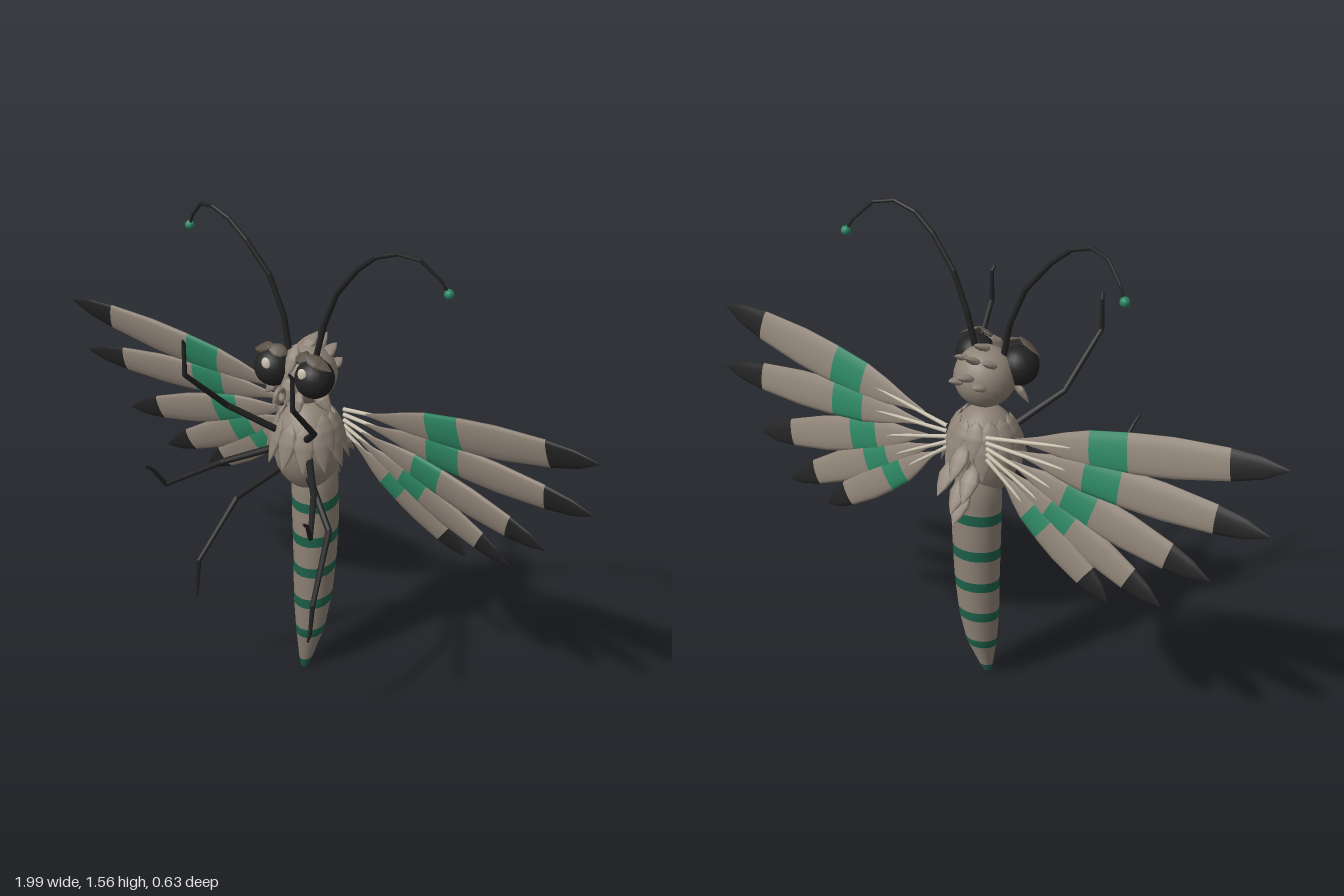
import * as THREE from 'three';

const mat = (name, color) => {
  const m = new THREE.MeshStandardMaterial({ color });
  m.name = name;
  return m;
};
const taupe = mat('taupe', 0x8f8377);
const darkTaupe = mat('dark taupe', 0x5a5248);
const green = mat('wing green', 0x2c8462);
const stripe = mat('stripe green', 0x1c614a);
const black = mat('black', 0x222222);
const cream = mat('cream', 0xc9c1ae);

const V = (x, y, z) => new THREE.Vector3(x, y, z);
const mirror = (p, s) => V(p[0] * s, p[1], p[2]);

// piecewise linear lookup in a list of [position, value]
function lookup(list, t) {
  for (let i = 1; i < list.length; i++) {
    const [a, va] = list[i - 1], [b, vb] = list[i];
    if (t <= b) return va + (vb - va) * Math.max(0, (t - a) / (b - a));
  }
  return list[list.length - 1][1];
}

// profile of a lathe between two heights
function section(profile, from, to, steps, segments) {
  const pts = [];
  for (let i = 0; i <= steps; i++) {
    const t = from + (to - from) * i / steps;
    pts.push(new THREE.Vector2(lookup(profile, t), t));
  }
  return new THREE.LatheGeometry(pts, segments, Math.PI);
}

// turn an object so its y runs from base to tip and its z faces outward
function aim(obj, base, tip, outward, width, thick) {
  const y = tip.clone().sub(base), len = y.length();
  y.normalize();
  const x = new THREE.Vector3().crossVectors(y, outward).normalize();
  const z = new THREE.Vector3().crossVectors(x, y);
  obj.quaternion.setFromRotationMatrix(new THREE.Matrix4().makeBasis(x, y, z));
  obj.position.copy(base);
  obj.scale.set(width, len, thick);
  return obj;
}

export function createModel() {
  const root = new THREE.Group();
  root.name = 'mothInsect';
  const add = (name, geo, m, parent = root) => {
    const mesh = new THREE.Mesh(geo, m);
    mesh.name = name;
    parent.add(mesh);
    return mesh;
  };
  const ball = (name, m, p, rx, ry = rx, rz = rx) => {
    const b = add(name, new THREE.SphereGeometry(1, 20, 14), m);
    b.position.copy(p);
    b.scale.set(rx, ry, rz);
    return b;
  };

  // small pointed plume used for collar, back and crest
  const leafGeo = section([[0, 0], [0.2, 0.75], [0.45, 1], [0.75, 0.6], [1, 0]], 0, 1, 20, 8);
  const leaf = (name, base, tip, outward, width, thick = 0.012, m = taupe) =>
    aim(add(name, leafGeo, m), base, tip, outward, width, thick);

  // jointed, tapering rod through a list of points
  const limb = (name, pts, r0, r1) => {
    const g = new THREE.Group();
    g.name = name;
    root.add(g);
    const n = pts.length - 1;
    for (let i = 0; i < n; i++) {
      const ra = r0 + (r1 - r0) * i / n, rb = r0 + (r1 - r0) * (i + 1) / n;
      const len = pts[i].distanceTo(pts[i + 1]);
      const seg = add(name + 'Segment', new THREE.CylinderGeometry(rb, ra, len, 8), black, g);
      seg.position.lerpVectors(pts[i], pts[i + 1], 0.5);
      seg.quaternion.setFromUnitVectors(V(0, 1, 0), pts[i + 1].clone().sub(pts[i]).normalize());
      const joint = add(name + 'Joint', new THREE.SphereGeometry(rb, 8, 6), black, g);
      joint.position.copy(pts[i + 1]);
    }
  };

  // striped abdomen: lathe bands, sheared and bent along a curve
  const radius = [[0, 0.012], [0.03, 0.022], [0.14, 0.049], [0.26, 0.064], [0.4, 0.071], [0.55, 0.076], [0.72, 0.075], [0.8, 0.05]];
  const centre = [[0, -0.107], [0.14, -0.14], [0.26, -0.153], [0.4, -0.162], [0.55, -0.163], [0.8, -0.15]];
  const cuts = [0, 0.032, 0.126, 0.158, 0.245, 0.28, 0.365, 0.4, 0.482, 0.518, 0.61, 0.645, 0.8];
  for (let i = 0; i + 1 < cuts.length; i++) {
    const geo = section(radius, cuts[i], cuts[i + 1], 5, 20), p = geo.attributes.position;
    for (let k = 0; k < p.count; k++) {
      const y = p.getY(k), z = p.getZ(k);
      p.setXYZ(k, p.getX(k), y - 0.18 * z, z + lookup(centre, y));
    }
    add(i % 2 ? 'abdomenSegment' : 'abdomenStripe', geo, i % 2 ? taupe : stripe);
  }
  ball('abdomenTip', stripe, V(0, 0.008, -0.108), 0.013, 0.008, 0.013);

  // thorax and head
  ball('thorax', taupe, V(0, 0.835, -0.115), 0.11, 0.15, 0.11);
  ball('head', taupe, V(0, 1.08, -0.11), 0.095);

  // collar of plumes around the thorax
  for (const [yb, yt, rb, rt, off] of [[0.94, 0.79, 0.086, 0.134, 0], [0.965, 0.85, 0.07, 0.125, 0.5]]) {
    for (let i = 0; i < 12; i++) {
      const a = (i + off) / 12 * Math.PI * 2;
      if (off && Math.cos(a) > 0.4) continue;
      const dir = V(Math.sin(a), 0, Math.cos(a)), c = V(0, 0, -0.115);
      leaf('collarPlume', c.clone().addScaledVector(dir, rb).setY(yb),
        c.clone().addScaledVector(dir, rt).setY(yt), dir, 0.035);
    }
  }

  // plumes down the back
  for (const [y, z, x] of [[0.9, -0.215, 0], [0.84, -0.222, 0.035], [0.84, -0.222, -0.035], [0.79, -0.22, 0], [0.745, -0.21, 0]])
    leaf('backPlume', V(x, y, z), V(x * 1.3, y - 0.095, z - 0.085), V(x * 4, 0.5, -1), 0.032);

  // crest on the head
  for (const [x, by, bz, ty, tz] of [[0, 1.16, -0.09, 1.2, -0.165], [0, 1.135, -0.14, 1.18, -0.215], [0, 1.1, -0.175, 1.13, -0.255],
    [0.04, 1.13, -0.12, 1.165, -0.195], [-0.04, 1.13, -0.12, 1.165, -0.195], [0.035, 1.08, -0.175, 1.1, -0.235], [-0.035, 1.08, -0.175, 1.1, -0.235]])
    leaf('crestPlume', V(x, by, bz), V(x * 1.3, ty, tz), V(x * 5, 1, -0.3), 0.025);
  leaf('foreheadPlume', V(0, 1.195, -0.06), V(0, 1.1, 0), V(0, 0.3, 1), 0.024);

  // coiled mouth
  const coil = add('coiledMouth', new THREE.TorusGeometry(0.02, 0.008, 8, 18), taupe);
  coil.position.set(0, 1.055, 0.03);
  coil.rotation.y = Math.PI / 2;
  leaf('snout', V(0, 1.1, -0.025), V(0, 1.01, 0.005), V(0, 0, 1), 0.03);

  // wing feather: blade in four colour bands
  const blade = [[0.1, 0.08], [0.18, 0.3], [0.27, 0.65], [0.36, 0.9], [0.5, 1], [0.64, 1], [0.82, 0.78], [0.92, 0.52], [1, 0.04]];
  const bands = [[0.1, 0.36, taupe], [0.36, 0.49, green], [0.49, 0.82, taupe], [0.82, 1, black]]
    .map(([a, b, m]) => [section(blade, a, b, 9, 14), m]);
  const quillGeo = section([[0, 1], [0.6, 0.3]], 0, 0.6, 1, 8);
  const wingFace = V(0, -0.22, 1);
  const feathers = [ // tip, half width
    [[0.995, 1.07, -0.125], 0.062],
    [[0.973, 0.875, -0.17], 0.058],
    [[0.815, 0.69, -0.2], 0.057],
    [[0.68, 0.572, -0.232], 0.052],
    [[0.515, 0.54, -0.25], 0.052],
  ];

  for (const s of [1, -1]) {
    const side = s > 0 ? 'left' : 'right';
    const P = (...p) => mirror(p, s);

    feathers.forEach(([tip, w], i) => {
      const g = new THREE.Group();
      g.name = side + 'WingFeather';
      for (const [geo, m] of bands) add('featherBand', geo, m, g);
      const base = P(0.07, 0.935 - i * 0.018, -0.205), end = mirror(tip, s);
      root.add(aim(g, base, end, wingFace, w, 0.014));
      // pale quill running into the blade
      const back = V(0, 0, -0.006);
      aim(add(side + 'WingQuill', quillGeo, cream), base.clone().add(back), end.clone().add(back), wingFace, 0.007, 0.007);
    });

    // eye, glint, brow, cheek and jaw
    ball(side + 'Eye', black, P(0.077, 1.107, -0.043), 0.062);
    ball(side + 'EyeGlint', cream, P(0.068, 1.135, 0.009), 0.016, 0.02, 0.008);
    leaf(side + 'Brow', P(0.015, 1.165, -0.03), P(0.085, 1.185, -0.015), V(0, 1, 0.7), 0.026, 0.008, darkTaupe);
    leaf(side + 'Brow', P(0.06, 1.188, -0.015), P(0.145, 1.15, -0.035), V(s * 0.4, 1, 0.5), 0.026, 0.008, darkTaupe);
    leaf(side + 'CheekPlume', P(0.07, 1.06, -0.06), P(0.125, 1.0, -0.06), V(s, 0, 1), 0.025);
    leaf(side + 'Jaw', P(0.03, 1.06, -0.03), P(0.045, 0.985, 0.005), V(0, 0, 1), 0.022);

    // antenna with a small bulb
    const antenna = [[0.05, 1.15, -0.085], [0.075, 1.26, -0.09], [0.125, 1.38, -0.085], [0.203, 1.476, -0.075], [0.267, 1.53, -0.073],
      [0.337, 1.554, -0.08], [0.4, 1.543, -0.1], [0.455, 1.487, -0.126], [0.476, 1.449, -0.136]];
    limb(side + 'Antenna', antenna.map(p => mirror(p, s)), 0.01, 0.004);
    ball(side + 'AntennaBulb', green, P(0.477, 1.447, -0.137), 0.015);

    // three pairs of legs
    limb(side + 'FrontLeg', [P(0.06, 0.9, -0.03), P(0.165, 0.995, 0.08), P(0.2, 1.145, 0.235), P(0.199, 1.245, 0.236), P(0.195, 1.26, 0.245)], 0.012, 0.004);
    limb(side + 'MiddleLeg', [P(0.06, 0.835, -0.04), P(0.18, 0.8, 0.1), P(0.277, 0.757, 0.25), P(0.295, 0.82, 0.29), P(0.3, 0.84, 0.315)], 0.012, 0.004);
    limb(side + 'HindLeg', [P(0.05, 0.765, -0.05), P(0.18, 0.64, 0.018), P(0.225, 0.457, 0.163), P(0.225, 0.36, 0.175), P(0.222, 0.335, 0.182)], 0.012, 0.004);
  }
  return root;
}
